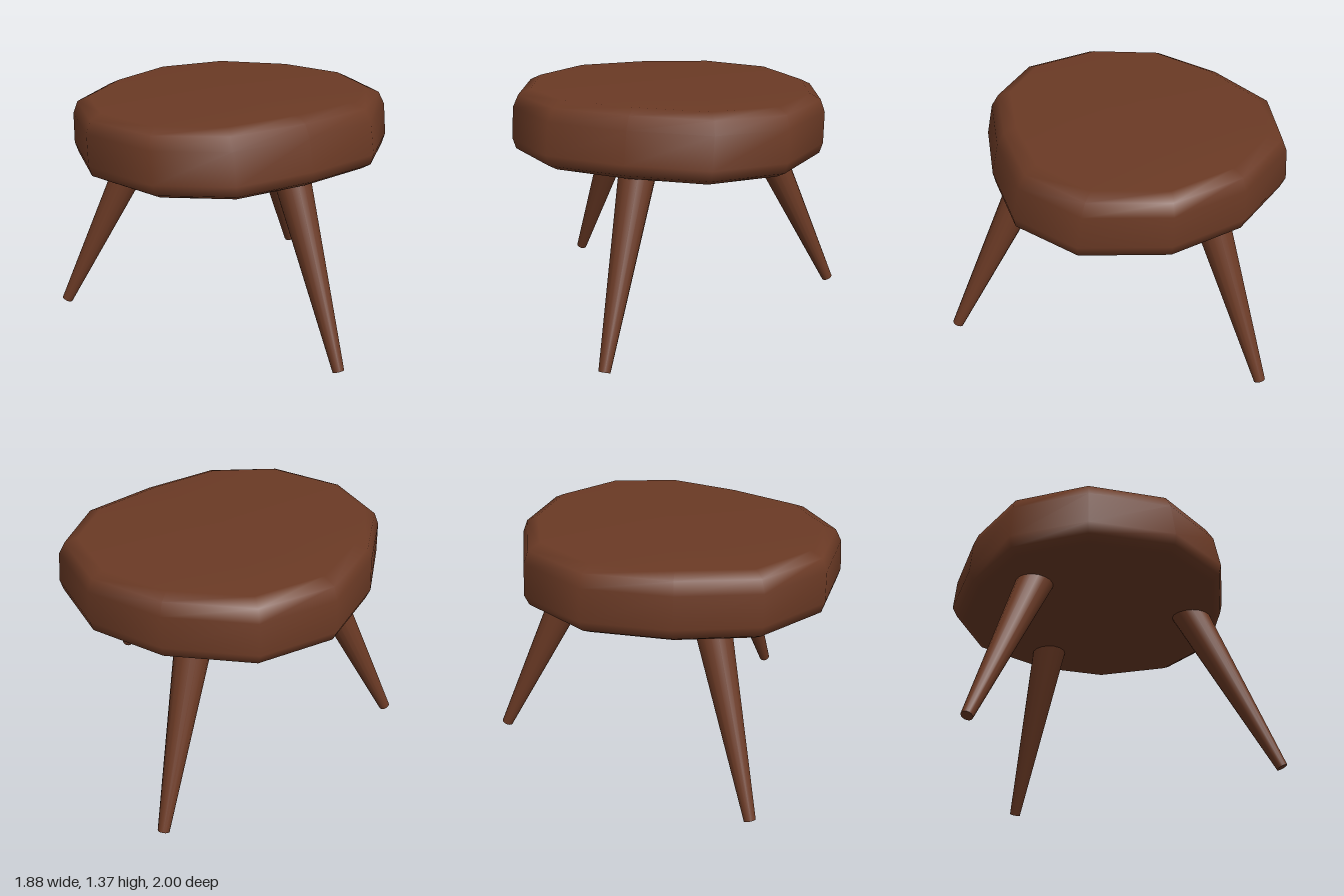
import * as THREE from 'three';

const wood = new THREE.MeshStandardMaterial({ color: 0x6b3a25 });
wood.name = 'brown wood';

// Seat: irregular twelve-sided outline (x, z), stacked in rings with softened rims
function createSeat() {
  const outline = [
    [0, -1], [0.45, -0.91], [0.78, -0.54], [0.92, -0.1], [0.81, 0.37], [0.47, 0.64],
    [0, 0.68], [-0.47, 0.64], [-0.81, 0.37], [-0.94, -0.1], [-0.81, -0.54], [-0.45, -0.82],
  ];
  // y, side scale, front scale, back scale
  const rings = [
    [1.0, 0.92, 0.93, 0.9],
    [1.03, 0.98, 0.985, 0.965],
    [1.09, 1, 1, 1],
    [1.27, 1, 0.955, 0.98],
    [1.34, 0.97, 0.905, 0.945],
    [1.37, 0.9, 0.82, 0.86],
  ];
  const cz = -0.16, n = outline.length;
  const pos = [], index = [];
  for (const [y, side, front, back] of rings) {
    for (const [x, z] of outline) {
      pos.push(x * side, y, cz + (z - cz) * (z > cz ? front : back));
    }
  }
  const bottom = pos.length / 3, top = bottom + 1;
  pos.push(0, 1.0, cz, 0, 1.37, cz);
  const last = (rings.length - 1) * n;
  for (let i = 0; i < n; i++) {
    const j = (i + 1) % n;
    for (let r = 0; r < last; r += n) {
      index.push(r + i, r + n + i, r + j, r + j, r + n + i, r + n + j);
    }
    index.push(bottom, i, j, top, last + j, last + i);
  }
  const geo = new THREE.BufferGeometry();
  geo.setAttribute('position', new THREE.Float32BufferAttribute(pos, 3));
  geo.setIndex(index);
  geo.computeVertexNormals();
  const seat = new THREE.Mesh(geo, wood);
  seat.name = 'seat';
  return seat;
}

// Tapered round leg from its foot to where it meets the seat, run on into the seat
function createLeg(name, foot, joint) {
  const a = new THREE.Vector3(...foot);
  const b = new THREE.Vector3(...joint).sub(a).multiplyScalar(1.08).add(a);
  const dir = b.clone().sub(a);
  const geo = new THREE.CylinderGeometry(0.11, 0.033, dir.length(), 16);
  const leg = new THREE.Mesh(geo, wood);
  leg.position.copy(a).add(b).multiplyScalar(0.5);
  leg.quaternion.setFromUnitVectors(new THREE.Vector3(0, 1, 0), dir.normalize());
  leg.name = name;
  return leg;
}

export function createModel() {
  const stool = new THREE.Group();
  stool.name = 'stool';
  stool.add(
    createSeat(),
    createLeg('frontLeg', [-0.02, 0.015, 0.97], [0.005, 1, 0.49]),
    createLeg('backLeftLeg', [0.91, 0.015, -0.675], [0.49, 1, -0.44]),
    createLeg('backRightLeg', [-0.86, 0.015, -0.695], [-0.445, 1, -0.44]),
  );
  return stool;
}
